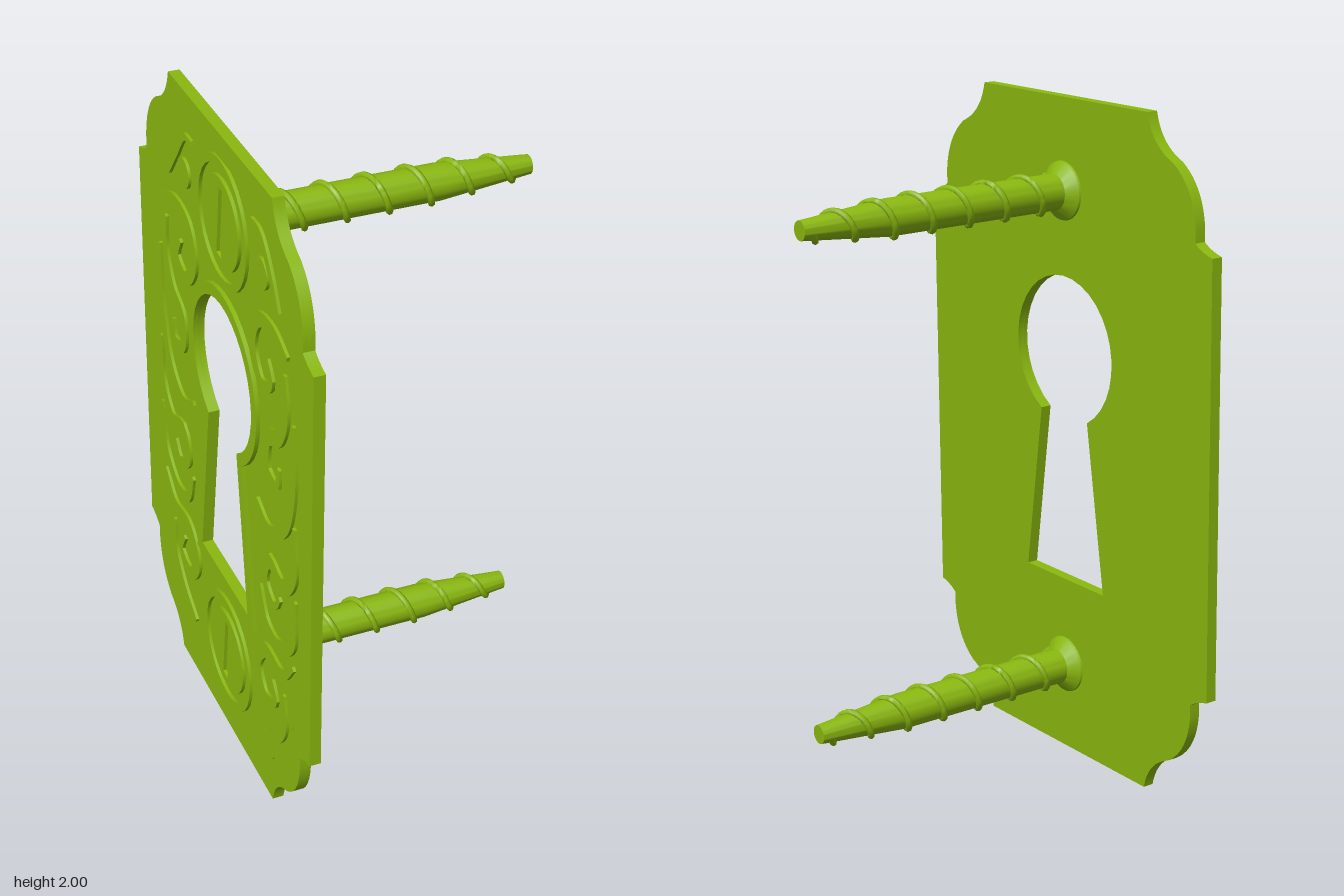
import * as THREE from 'three';
import { toCreasedNormals } from 'three/addons/utils/BufferGeometryUtils.js';

const material = new THREE.MeshStandardMaterial({ color: 0x8ab80f });

// Layers of the plate, measured outward from its middle
const BACK = -0.017, FLOOR = 0.004, TOP = 0.0165, SCREW_Y = 0.73;

function add(parent, name, geometry, crease = 0.6) {
  const mesh = new THREE.Mesh(toCreasedNormals(geometry, crease), material);
  mesh.name = name;
  parent.add(mesh);
  return mesh;
}

// Flat slab: shape x runs along z, thickness grows toward -x
function slab(shape, from, to, curveSegments = 14) {
  const g = new THREE.ExtrudeGeometry(shape, { depth: to - from, bevelEnabled: false, curveSegments });
  g.translate(0, 0, from);
  g.rotateY(-Math.PI / 2);
  return g;
}

// Plate outline with ogee corners; sx and sy shrink it for the rim's inner edge
function outline(sx = 1, sy = 1) {
  const s = new THREE.Shape();
  const corner = [
    [0.38, 1], [0.4, 0.91], [0.49, 0.875], [0.575, 0.82], [0.585, 0.71],
    [0.585, 0.67], [0.61, 0.65], [0.655, 0.64],
  ];
  const q = (mx, my, i) => [corner[i][0] * mx * sx, corner[i][1] * my * sy];
  s.moveTo(...q(-1, 1, 0));
  for (const [mx, my, down] of [[1, 1, true], [1, -1, false], [-1, -1, true], [-1, 1, false]]) {
    const p = (i) => q(mx, my, down ? i : 7 - i);
    s.lineTo(...p(0));
    if (down) {
      s.quadraticCurveTo(...p(1), ...p(2));
      s.quadraticCurveTo(...p(3), ...p(4));
      s.lineTo(...p(5));
      s.quadraticCurveTo(...p(6), ...p(7));
    } else {
      s.quadraticCurveTo(...p(1), ...p(2));
      s.lineTo(...p(3));
      s.quadraticCurveTo(...p(4), ...p(5));
      s.quadraticCurveTo(...p(6), ...p(7));
    }
  }
  return s;
}

// Keyhole: round top over a flared slot
function keyhole(r, neck, foot, bottom) {
  const a = Math.acos(neck / r);
  const s = new THREE.Shape();
  s.moveTo(-foot, bottom);
  s.lineTo(foot, bottom);
  s.absarc(0, 0.255, r, -a, Math.PI + a, false);
  s.closePath();
  return s;
}

function disc(x, y, r) {
  return new THREE.Shape().absarc(x, y, r, 0, Math.PI * 2, false);
}

// Ribbon of swelling width along a smooth path
function ribbon(points, width, side) {
  const curve = new THREE.CatmullRomCurve3(points.map(([x, y]) => new THREE.Vector3(x * side, y, 0)));
  const n = 30, left = [], right = [];
  for (let i = 0; i <= n; i++) {
    const t = i / n, p = curve.getPointAt(t), d = curve.getTangentAt(t);
    const w = width * (0.3 + 0.7 * Math.sin(Math.PI * t)) / 2;
    left.push(new THREE.Vector2(p.x - d.y * w, p.y + d.x * w));
    right.unshift(new THREE.Vector2(p.x + d.y * w, p.y - d.x * w));
  }
  return new THREE.Shape([...left, ...right]);
}

// Scrollwork of one half of the plate: path and width
const scrolls = [
  [[[0.47, 0.58], [0.37, 0.61], [0.26, 0.58], [0.225, 0.48], [0.29, 0.4], [0.36, 0.44], [0.33, 0.5]], 0.05],
  [[[0.45, 0.52], [0.46, 0.4], [0.41, 0.3], [0.33, 0.25], [0.33, 0.15], [0.4, 0.14], [0.41, 0.2]], 0.05],
  [[[0.51, 0.4], [0.51, 0.2], [0.45, 0.03], [0.34, -0.04], [0.25, 0.0]], 0.045],
  [[[0.52, 0.08], [0.52, -0.08], [0.44, -0.17], [0.34, -0.15], [0.31, -0.24], [0.38, -0.28], [0.42, -0.23]], 0.05],
  [[[0.53, -0.16], [0.51, -0.32], [0.41, -0.4], [0.32, -0.38], [0.27, -0.28]], 0.045],
  [[[0.52, -0.4], [0.44, -0.48], [0.31, -0.49], [0.25, -0.58], [0.31, -0.66], [0.39, -0.62], [0.36, -0.56]], 0.05],
  [[[0.45, -0.55], [0.45, -0.67], [0.38, -0.76], [0.27, -0.82]], 0.045],
  [[[0.22, 0.86], [0.28, 0.85], [0.35, 0.77], [0.41, 0.68]], 0.03],
];

function buildPlate() {
  const plate = new THREE.Group();
  plate.name = 'plate';

  const base = outline();
  base.holes.push(keyhole(0.225, 0.11, 0.185, -0.455));
  add(plate, 'basePlate', slab(base, BACK, FLOOR));

  const rim = outline();
  rim.holes.push(outline(0.87, 0.93));
  add(plate, 'raisedRim', slab(rim, FLOOR, TOP));

  const lip = keyhole(0.262, 0.147, 0.23, -0.495);
  lip.holes.push(keyhole(0.225, 0.11, 0.185, -0.455));
  add(plate, 'keyholeLip', slab(lip, FLOOR, TOP));

  for (const side of [1, -1]) {
    for (const [path, width] of scrolls)
      add(plate, 'scroll', slab(ribbon(path, width, side), FLOOR, 0.013));
    add(plate, 'stud', slab(disc(0.29 * side, 0.735, 0.045), FLOOR, 0.013));
  }
  return plate;
}

function buildScrew() {
  const screw = new THREE.Group();
  screw.name = 'screw';

  // Slotted head and the ring around it
  const head = disc(0, 0, 0.135);
  const slot = new THREE.Path();
  const tilt = 0.12;
  [[-0.018, -0.105], [0.018, -0.105], [0.018, 0.105], [-0.018, 0.105]].forEach(([x, y], i) => {
    const px = x * Math.cos(tilt) + y * Math.sin(tilt), py = y * Math.cos(tilt) - x * Math.sin(tilt);
    i ? slot.lineTo(px, py) : slot.moveTo(px, py);
  });
  slot.closePath();
  head.holes.push(slot);
  add(screw, 'screwHead', slab(head, FLOOR, 0.014));
  const ring = disc(0, 0, 0.19);
  ring.holes.push(disc(0, 0, 0.165));
  add(screw, 'headRing', slab(ring, FLOOR, 0.014));

  // Shaft with a flared collar and tapered end
  const radius = (x) => (x < 0.62 ? 0.053 : 0.053 - (0.025 * (x - 0.62)) / 0.28);
  const profile = [[0.087, 0.015], [0.085, 0.023], [0.053, 0.05], [0.053, 0.62], [0.028, 0.9], [0, 0.9]];
  const shaft = new THREE.LatheGeometry(profile.map(([r, h]) => new THREE.Vector2(r, h)), 32);
  shaft.rotateZ(-Math.PI / 2);
  add(screw, 'screwShaft', shaft);

  // Helical thread
  const helix = [];
  for (let x = 0.05; x <= 0.88; x += 0.125 / 16) {
    const a = ((x - 0.165) / 0.125) * Math.PI * 2, r = radius(x) + 0.002;
    helix.push(new THREE.Vector3(x, r * Math.cos(a), r * Math.sin(a)));
  }
  add(screw, 'screwThread', new THREE.TubeGeometry(new THREE.CatmullRomCurve3(helix), 220, 0.01, 7), 1.2);
  return screw;
}

export function createModel() {
  const model = new THREE.Group();
  model.name = 'keyholePlate';
  model.add(buildPlate());
  for (const side of [1, -1]) {
    const screw = buildScrew();
    screw.position.y = SCREW_Y * side;
    model.add(screw);
  }
  // The whole piece leans slightly
  model.position.set(-0.4325, 1, 0);
  model.rotation.set(0, 0.044, -0.024);
  const root = new THREE.Group();
  root.name = 'model';
  root.add(model);
  return root;
}
